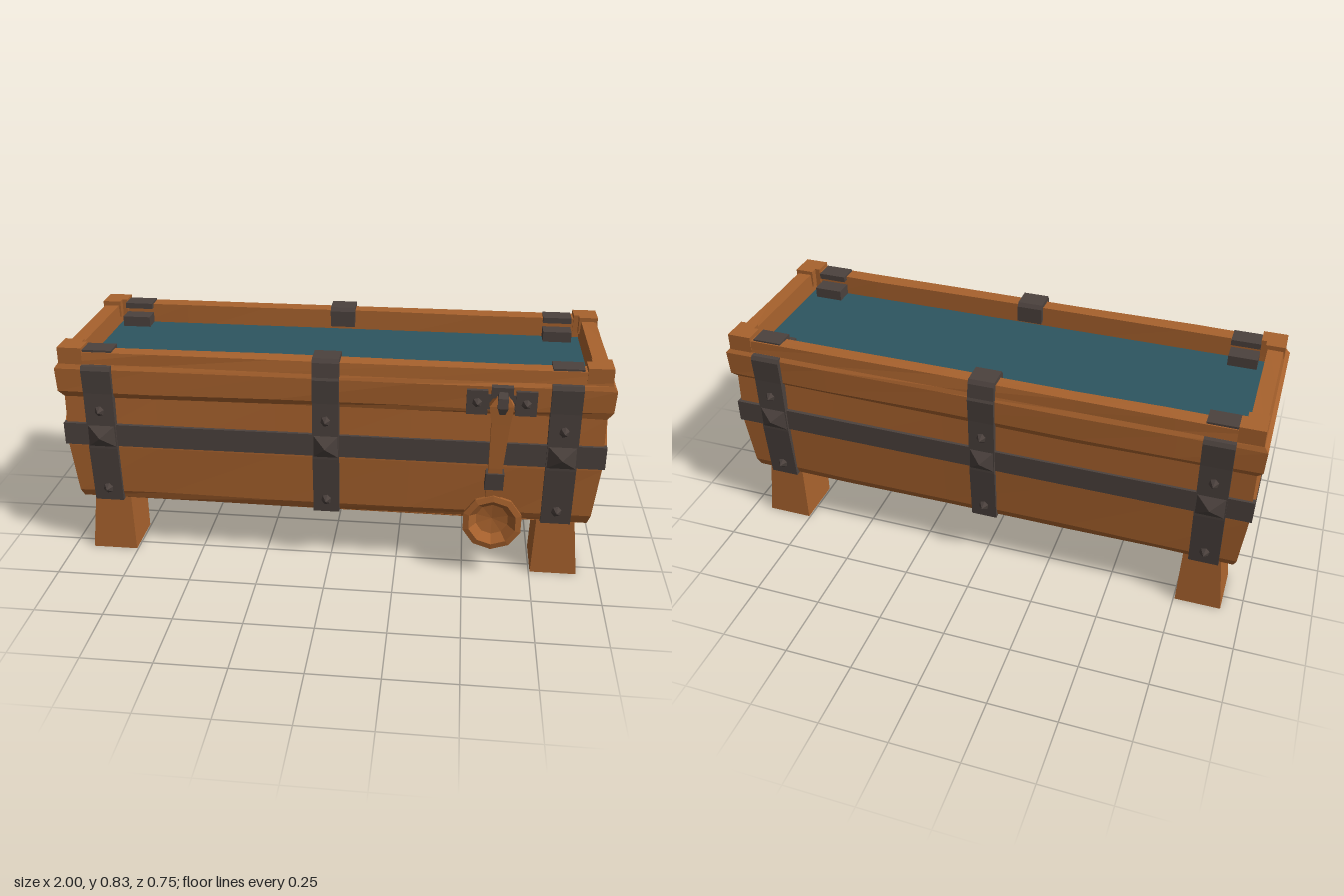
import * as THREE from 'three';

const CZ = -0.008; // depth centre of the trough body

// Split faces so that every facet is flat shaded
function flat(geo) {
  const g = geo.index ? geo.toNonIndexed() : geo;
  g.computeVertexNormals();
  return g;
}

// Skin a stack of rings (each counterclockwise seen from above)
function loft(rings, capTop = true) {
  const n = rings[0].length, pos = rings.flat(2), idx = [];
  for (let r = 0; r < rings.length - 1; r++)
    for (let i = 0; i < n; i++) {
      const a = r * n + i, b = r * n + (i + 1) % n;
      idx.push(a, b, b + n, a, b + n, a + n);
    }
  const top = (rings.length - 1) * n;
  for (let i = 1; i < n - 1; i++) {
    idx.push(0, i + 1, i);
    if (capTop) idx.push(top, top + i, top + i + 1);
  }
  const g = new THREE.BufferGeometry();
  g.setAttribute('position', new THREE.Float32BufferAttribute(pos, 3));
  g.setIndex(idx);
  return flat(g);
}

// Rectangular ring at height y
const rect = (y, x0, x1, z0, z1) => [[x1, y, z1], [x1, y, z0], [x0, y, z0], [x0, y, z1]];

function boxGeo(x0, x1, y0, y1, z0, z1) {
  return loft([rect(y0, x0, x1, z0, z1), rect(y1, x0, x1, z0, z1)]);
}

// Cone pointing to +z with its base at z = 0
function spikeGeo(w, h, d, sides) {
  const r = sides === 4 ? Math.SQRT1_2 : 0.5;
  const g = new THREE.ConeGeometry(r, 1, sides);
  g.translate(0, 0.5, 0).rotateY(Math.PI / 4).rotateX(Math.PI / 2).scale(w, h, d);
  return flat(g);
}

export function createModel() {
  const wood = new THREE.MeshStandardMaterial({ color: 0xa8622d });
  const iron = new THREE.MeshStandardMaterial({ color: 0x4c423e });
  const water = new THREE.MeshStandardMaterial({ color: 0x2d5560 });
  const model = new THREE.Group();

  function add(parent, name, geo, mat, x = 0, y = 0, z = 0) {
    const m = new THREE.Mesh(geo, mat);
    m.name = name;
    m.position.set(x, y, z);
    parent.add(m);
    return m;
  }

  // Small seeded wobble for hand-hewn planks
  let seed = 7;
  const wobble = (a) => {
    seed = (seed * 16807) % 2147483647;
    return (seed / 2147483647 - 0.5) * 2 * a;
  };

  // Trough shell: outer wall, rim, then inner wall
  const outline = [[1, 1], [1, 0], [1, -1]];
  for (const u of [0.6, 0.15, -0.35, -0.7]) outline.push([u, -1]);
  outline.push([-1, -1], [-1, 0], [-1, 1]);
  for (const u of [-0.65, -0.2, 0.3, 0.7]) outline.push([u, 1]);
  const profile = [ // y, half length, half depth, wobble
    [0.22, 0.945, 0.3, 0.003], [0.25, 0.955, 0.314, 0.004], [0.44, 0.975, 0.322, 0.003],
    [0.64, 0.974, 0.316, 0.004], [0.662, 0.994, 0.325, 0.004], [0.748, 0.998, 0.327, 0.002],
    [0.765, 0.984, 0.32, 0.002], [0.81, 0.976, 0.315, 0.002], [0.81, 0.92, 0.258, 0.002],
    [0.7, 0.915, 0.255, 0],
  ];
  const shell = profile.map(([y, hx, hz, w]) =>
    outline.map(([u, v]) => [u * hx, y + wobble(w), v * (hz + wobble(w)) + CZ]));
  add(model, 'troughBody', loft(shell, false), wood);

  add(model, 'waterSurface', boxGeo(-0.925, 0.925, 0.725, 0.735, -0.27, 0.255), water);

  for (const s of [1, -1]) {
    // Raised corner blocks on the rim
    for (const t of [1, -1]) {
      const block = new THREE.Group();
      block.name = 'cornerBlock';
      const spanX = (a, b) => (s > 0 ? [a, b] : [-b, -a]);
      const spanZ = (a, b) => (t > 0 ? [CZ + a, CZ + b] : [CZ - b, CZ - a]);
      add(block, 'cornerCapLong', boxGeo(...spanX(0.893, 0.98), 0.76, 0.826, ...spanZ(0.25, 0.32)), wood);
      add(block, 'cornerCapShort', boxGeo(...spanX(0.912, 0.982), 0.76, 0.826, ...spanZ(0.222, 0.32)), wood);
      model.add(block);

      // Splayed legs
      const top = rect(0.24, ...spanX(0.765, 0.9), ...spanZ(0.1, 0.298));
      const foot = rect(0, ...spanX(0.755, 0.925), ...spanZ(0.122, 0.31));
      add(model, 'leg', loft([foot, top]), wood);
    }
    // Bevelled boards on the end walls
    const board = new THREE.Group();
    board.name = 'endBoard';
    add(board, 'endBoardBevel', loft([
      rect(0.53, 0.9, 0.984, CZ - 0.312, CZ + 0.312), rect(0.645, 0.9, 0.985, CZ - 0.225, CZ + 0.225),
      rect(0.66, 0.9, 0.975, CZ - 0.225, CZ + 0.225),
    ]), wood);
    board.rotation.y = s > 0 ? 0 : Math.PI;
    board.position.z = s > 0 ? 0 : 2 * CZ;
    model.add(board);
  }

  // Iron band around the middle
  add(model, 'ironBand', boxGeo(-0.984, 0.984, 0.45, 0.535, CZ - 0.331, CZ + 0.331), iron);

  // Vertical straps with rivets, on front and back
  for (const x of [-0.84, -0.01, 0.83])
    for (const s of [1, -1]) {
      const strap = new THREE.Group();
      strap.name = 'verticalStrap';
      const w = x === -0.01 ? 0.048 : 0.054;
      add(strap, 'strapBar', loft([
        rect(0.217, -w, w, 0.27, 0.32), rect(0.44, -w, w, 0.27, 0.338),
        rect(0.66, -w, w, 0.27, 0.34), rect(0.75, -w, w, 0.27, 0.346),
        rect(0.765, -w, w, 0.27, 0.338),
      ]), iron);
      if (x === -0.01) {
        add(strap, 'rimClamp', loft([
          rect(0.75, -w, w, 0.235, 0.342), rect(0.812, -w, w, 0.235, 0.335), rect(0.827, -w, w, 0.245, 0.325),
        ]), iron);
      } else {
        add(strap, 'rimClamp', boxGeo(-w, w, 0.795, 0.817, 0.235, 0.31), iron);
        add(strap, 'innerBracket', boxGeo(-w, w, 0.72, 0.775, 0.19, 0.265), iron);
      }
      add(strap, 'crossingStud', spikeGeo(2 * w, 0.09, 0.032, 4), iron, 0, 0.492, 0.336);
      for (const [y, z] of [[0.27, 0.322], [0.592, 0.336]])
        add(strap, 'rivet', spikeGeo(0.042, 0.048, 0.026, 6), iron, 0, y, z);
      strap.position.set(x, 0, CZ);
      strap.rotation.y = s > 0 ? 0 : Math.PI;
      model.add(strap);
    }

  // Hanging ladle
  const ladle = new THREE.Group();
  ladle.name = 'ladle';
  const bowl = new THREE.LatheGeometry(
    [[0, 0], [0.065, 0], [0.108, 0.045], [0.11, 0.062], [0.088, 0.066], [0.06, 0.035], [0, 0.026]]
      .map(([r, y]) => new THREE.Vector2(r, y)), 10);
  bowl.rotateX(Math.PI / 2);
  add(ladle, 'ladleBowl', flat(bowl), wood, 0.6, 0.23, 0.294);
  add(ladle, 'ladleHandle', loft([
    rect(0.32, 0.57, 0.625, 0.315, 0.348), rect(0.45, 0.575, 0.625, 0.322, 0.355),
    rect(0.62, 0.575, 0.64, 0.322, 0.358), rect(0.69, 0.565, 0.65, 0.322, 0.36),
    rect(0.725, 0.59, 0.63, 0.322, 0.355),
  ]), wood);
  add(ladle, 'handleBinding', loft([
    rect(0.365, 0.564, 0.631, 0.31, 0.358), rect(0.43, 0.568, 0.632, 0.315, 0.362),
  ]), iron);
  model.add(ladle);

  // Iron hook plate that holds the ladle
  const hook = new THREE.Group();
  hook.name = 'ladleHook';
  add(hook, 'hookBackPlate', boxGeo(0.5, 0.71, 0.665, 0.72, 0.3, 0.325), iron);
  for (const x of [0.522, 0.692]) {
    add(hook, 'hookPlate', boxGeo(x - 0.037, x + 0.037, 0.648, 0.738, 0.3, 0.335), iron);
    add(hook, 'hookRivet', spikeGeo(0.036, 0.036, 0.022, 6), iron, x, 0.693, 0.335);
  }
  add(hook, 'hookArm', boxGeo(0.57, 0.645, 0.715, 0.755, 0.3, 0.345), iron);
  add(hook, 'hookTip', loft([
    rect(0.665, 0.6, 0.62, 0.358, 0.37), rect(0.69, 0.592, 0.628, 0.355, 0.378),
    rect(0.725, 0.592, 0.628, 0.335, 0.372), rect(0.74, 0.595, 0.625, 0.33, 0.35),
  ]), iron);
  model.add(hook);

  return model;
}
